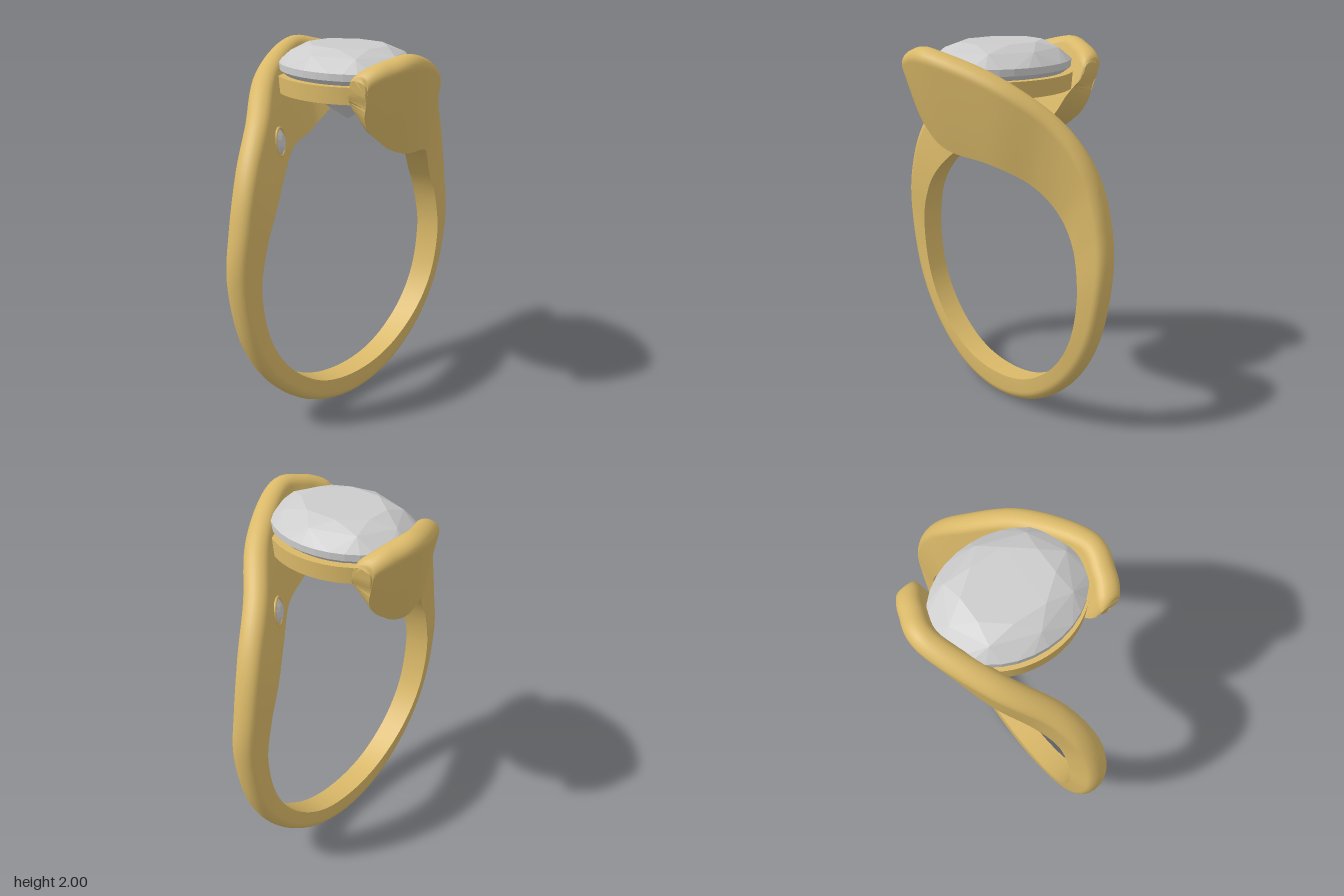
import * as THREE from 'three';
import { toCreasedNormals } from 'three/addons/utils/BufferGeometryUtils.js';
import { ConvexGeometry } from 'three/addons/geometries/ConvexGeometry.js';

const gold = new THREE.MeshStandardMaterial({ color: 0xd9b868 });
const stone = new THREE.MeshStandardMaterial({ color: 0xcccccc, flatShading: true });

// Half of the band, from the bottom up the left side to the front wing tip:
// inner x, y, z, outer x, y, z, inner and outer half thickness
const stations = [
  [0, 0.14, 0, 0, 0, 0, 0.065, 0.065],
  [0.26, 0.186, 0, 0.315, 0.07, 0, 0.065, 0.065],
  [0.484, 0.335, 0.005, 0.583, 0.272, -0.003, 0.066, 0.065],
  [0.63, 0.55, 0.01, 0.755, 0.555, -0.008, 0.068, 0.065],
  [0.685, 0.82, 0.012, 0.825, 0.92, -0.012, 0.07, 0.065],
  [0.65, 1.05, 0.012, 0.793, 1.22, -0.018, 0.07, 0.065],
  [0.56, 1.22, 0.035, 0.705, 1.48, 0.015, 0.066, 0.065],
  [0.43, 1.36, 0.115, 0.55, 1.69, 0.1, 0.065, 0.065],
  [0.25, 1.455, 0.235, 0.32, 1.88, 0.29, 0.065, 0.065],
  [0.03, 1.495, 0.31, 0, 1.99, 0.45, 0.062, 0.062],
  [-0.14, 1.585, 0.315, -0.18, 1.97, 0.425, 0.062, 0.062],
  [-0.25, 1.71, 0.315, -0.28, 1.93, 0.38, 0.062, 0.06],
  [-0.3, 1.83, 0.35, -0.308, 1.89, 0.36, 0.05, 0.05],
];

function bandGeometry() {
  // The other half is the same, turned half way round the y axis
  const turned = stations.slice(1).reverse()
    .map(([a, b, c, d, e, f, g, h]) => [-a, b, -c, -d, e, -f, g, h]);
  const all = [...turned, ...stations];
  const curve = (i) => new THREE.CatmullRomCurve3(
    all.map((s) => new THREE.Vector3(s[i], s[i + 1], s[i + 2] ?? 0)), false, 'catmullrom');
  const inner = curve(0), outer = curve(3), width = curve(6);
  const mid = (t) => inner.getPoint(t).add(outer.getPoint(t)).multiplyScalar(0.5);

  const rings = 192, capSteps = 12, n = capSteps + 3;
  const pos = [], index = [];
  for (let i = 0; i <= rings; i++) {
    const t = i / rings;
    const a = inner.getPoint(t), b = outer.getPoint(t), w = width.getPoint(t);
    const tangent = mid(Math.min(1, t + 0.002)).sub(mid(Math.max(0, t - 0.002)));
    const u = b.clone().sub(a), len = u.length();
    u.normalize();
    const v = tangent.cross(u).normalize();
    const h = Math.min(0.055, len * 0.5);
    // Flat inside, straight flanks, rounded outside
    const section = [[0, -w.x]];
    for (let k = 0; k <= capSteps; k++) {
      const q = -Math.PI / 2 + Math.PI * k / capSteps;
      section.push([len - h + h * Math.cos(q), w.y * Math.sin(q)]);
    }
    section.push([0, w.x]);
    for (const [p, q] of section) {
      pos.push(...a.clone().addScaledVector(u, p).addScaledVector(v, q).toArray());
    }
  }
  for (let i = 0; i < rings; i++) {
    for (let j = 0; j < n; j++) {
      const a = i * n + j, b = i * n + (j + 1) % n;
      index.push(a, b, b + n, a, b + n, a + n);
    }
  }
  // End faces of the two wing tips
  const last = rings * n;
  for (let j = 1; j < n - 1; j++) {
    index.push(0, j + 1, j, last, last + j, last + j + 1);
  }
  const g = new THREE.BufferGeometry();
  g.setAttribute('position', new THREE.Float32BufferAttribute(pos, 3));
  g.setIndex(index);
  return toCreasedNormals(g, 0.6);
}

// Faceted oval stone: hull of rings [count, scale, y, turn]
function ovalStone(rx, rz, rings) {
  const pts = [];
  for (const [count, scale, y, turn] of rings) {
    for (let i = 0; i < count; i++) {
      const a = (i + turn) / count * Math.PI * 2;
      pts.push(new THREE.Vector3(rx * scale * Math.cos(a), y, rz * scale * Math.sin(a)));
    }
  }
  return new ConvexGeometry(pts);
}

function add(parent, name, geometry, material) {
  const mesh = new THREE.Mesh(geometry, material);
  mesh.name = name;
  parent.add(mesh);
  return mesh;
}

export function createModel() {
  const ring = new THREE.Group();
  ring.name = 'ring';
  add(ring, 'band', bandGeometry(), gold);

  // Centre stone: table, crown, girdle, pavilion, culet
  add(ring, 'centreStone', ovalStone(0.315, 0.395, [
    [8, 0.58, 2.0, 0.5], [8, 0.82, 1.965, 0], [32, 1, 1.9, 0],
    [32, 1, 1.865, 0], [8, 0.55, 1.735, 0.5], [1, 0, 1.61, 0],
  ]), stone);

  // Oval collar under the stone
  const oval = new THREE.Shape().absellipse(0, 0, 0.33, 0.4, 0, Math.PI * 2);
  oval.holes.push(new THREE.Path().absellipse(0, 0, 0.285, 0.355, 0, Math.PI * 2));
  const collar = new THREE.ExtrudeGeometry(oval, { depth: 0.085, bevelEnabled: false, curveSegments: 48 });
  collar.rotateX(-Math.PI / 2);
  add(ring, 'collar', toCreasedNormals(collar, 0.6), gold).position.y = 1.755;

  // Small accent stone with a thin rim in each shoulder
  for (const side of [0, 1]) {
    const turn = new THREE.Group();
    turn.name = side ? 'leftAccent' : 'rightAccent';
    turn.rotation.y = side * Math.PI;
    const seat = new THREE.Group();
    seat.name = 'accentSeat';
    seat.position.set(-0.4, 1.54, -0.085);
    seat.quaternion.setFromUnitVectors(
      new THREE.Vector3(0, 0, 1), new THREE.Vector3(0.47, 0.08, 0.88).normalize());
    const gem = ovalStone(0.058, 0.066, [
      [8, 0.55, 0.018, 0.5], [16, 1, 0, 0], [16, 1, -0.01, 0], [1, 0, -0.04, 0],
    ]);
    add(seat, 'accentStone', gem.rotateX(Math.PI / 2), stone);
    const rim = add(seat, 'accentRim', new THREE.TorusGeometry(0.063, 0.007, 8, 32), gold);
    rim.scale.y = 1.14;
    turn.add(seat);
    ring.add(turn);
  }
  return ring;
}
